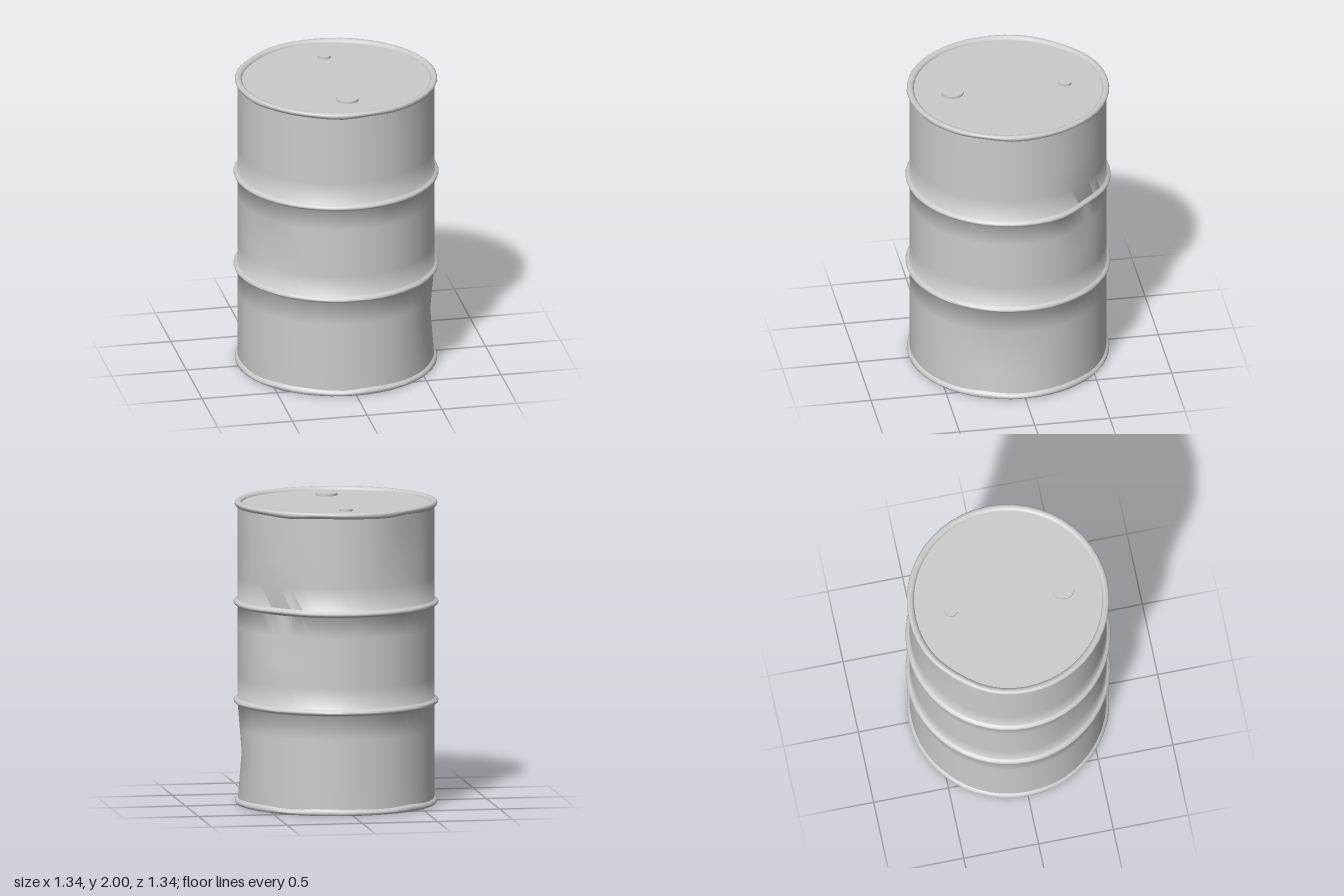
import * as THREE from 'three';
import { toCreasedNormals } from 'three/addons/utils/BufferGeometryUtils.js';

const SEGMENTS = 48;
const material = new THREE.MeshStandardMaterial({ color: 0xcccccc, side: THREE.DoubleSide });

// Dents: azimuth from +z towards +x (degrees), height, depth, half width (degrees), half height
const DENTS = [
  [74, 0.34, 0.03, 40, 0.33],
  [-55, 0.98, 0.03, 32, 0.33],
  [133, 1.25, 0.035, 26, 0.3],
  [215, 1.66, 0.02, 28, 0.33],
  [228, 2.0, 0.012, 26, 0.3],
];

function dentDepth(angle, y) {
  let depth = 0;
  for (const [azimuth, height, amount, halfWidth, halfHeight] of DENTS) {
    let d = Math.abs(angle - THREE.MathUtils.degToRad(azimuth)) % (2 * Math.PI);
    d = Math.min(d, 2 * Math.PI - d) / THREE.MathUtils.degToRad(halfWidth);
    const v = Math.abs(y - height) / halfHeight;
    if (d < 1 && v < 1) depth += amount * (0.5 + 0.5 * Math.cos(Math.PI * d)) * (1 - v);
  }
  return depth;
}

// Lathe a profile, then push the dents into it
function dentedLathe(name, profile) {
  const geometry = new THREE.LatheGeometry(profile.map(([r, y]) => new THREE.Vector2(r, y)), SEGMENTS);
  const p = geometry.attributes.position;
  for (let i = 0; i < p.count; i++) {
    const x = p.getX(i), y = p.getY(i), z = p.getZ(i);
    const r = Math.hypot(x, z), angle = Math.atan2(x, z);
    const k = (r - dentDepth(angle, y)) / r;
    // the rolled rims are slightly wavy on their wall side
    const rim = (y > 0.015 && y < 0.05) || (y > 1.95 && y < 1.985);
    const wave = rim && r > 0.63 ? 0.004 * Math.sin(angle * 7) + 0.002 * Math.sin(angle * 12) : 0;
    p.setXYZ(i, x * k, y + wave, z * k);
  }
  const mesh = new THREE.Mesh(toCreasedNormals(geometry, 0.9), material);
  mesh.name = name;
  return mesh;
}

// Rounded reinforcing hoop around the wall
const hoop = (y) => [
  [0.645, y - 0.024], [0.653, y - 0.017], [0.668, y - 0.01], [0.672, y],
  [0.668, y + 0.01], [0.653, y + 0.017], [0.645, y + 0.024],
];

function plug(name, radius, z) {
  const mesh = new THREE.Mesh(new THREE.CylinderGeometry(radius, radius, 0.02, 32), material);
  mesh.name = name;
  mesh.position.set(0, 1.985, z);
  return mesh;
}

export function createModel() {
  const barrel = new THREE.Group();
  barrel.name = 'barrel';

  // Wall with two hoops, open at the bottom
  barrel.add(dentedLathe('wall', [
    [0.645, 0.03], [0.645, 0.18], [0.645, 0.34], [0.645, 0.5], ...hoop(0.68),
    [0.645, 0.84], [0.645, 1.0], [0.645, 1.17], ...hoop(1.33),
    [0.645, 1.5], [0.645, 1.67], [0.645, 1.83], [0.645, 1.97],
  ]));

  // Rolled bottom rim
  barrel.add(dentedLathe('bottomRim', [
    [0.642, 0.04], [0.63, 0.025], [0.63, 0.008], [0.637, 0], [0.654, 0],
    [0.662, 0.008], [0.664, 0.018], [0.658, 0.03], [0.645, 0.04],
  ]));

  // Rolled top rim, meeting the lid on its inner side
  barrel.add(dentedLathe('topRim', [
    [0.645, 1.96], [0.658, 1.97], [0.664, 1.982], [0.662, 1.993], [0.654, 2],
    [0.638, 2], [0.626, 1.995], [0.618, 1.986], [0.616, 1.975],
  ]));

  // Lid, slightly below the rim, with its two plugs
  const lid = new THREE.Mesh(new THREE.CircleGeometry(0.622, SEGMENTS), material);
  lid.name = 'lid';
  lid.rotation.x = -Math.PI / 2;
  lid.position.y = 1.98;
  barrel.add(lid, plug('largePlug', 0.072, 0.37), plug('smallPlug', 0.043, -0.38));

  return barrel;
}
